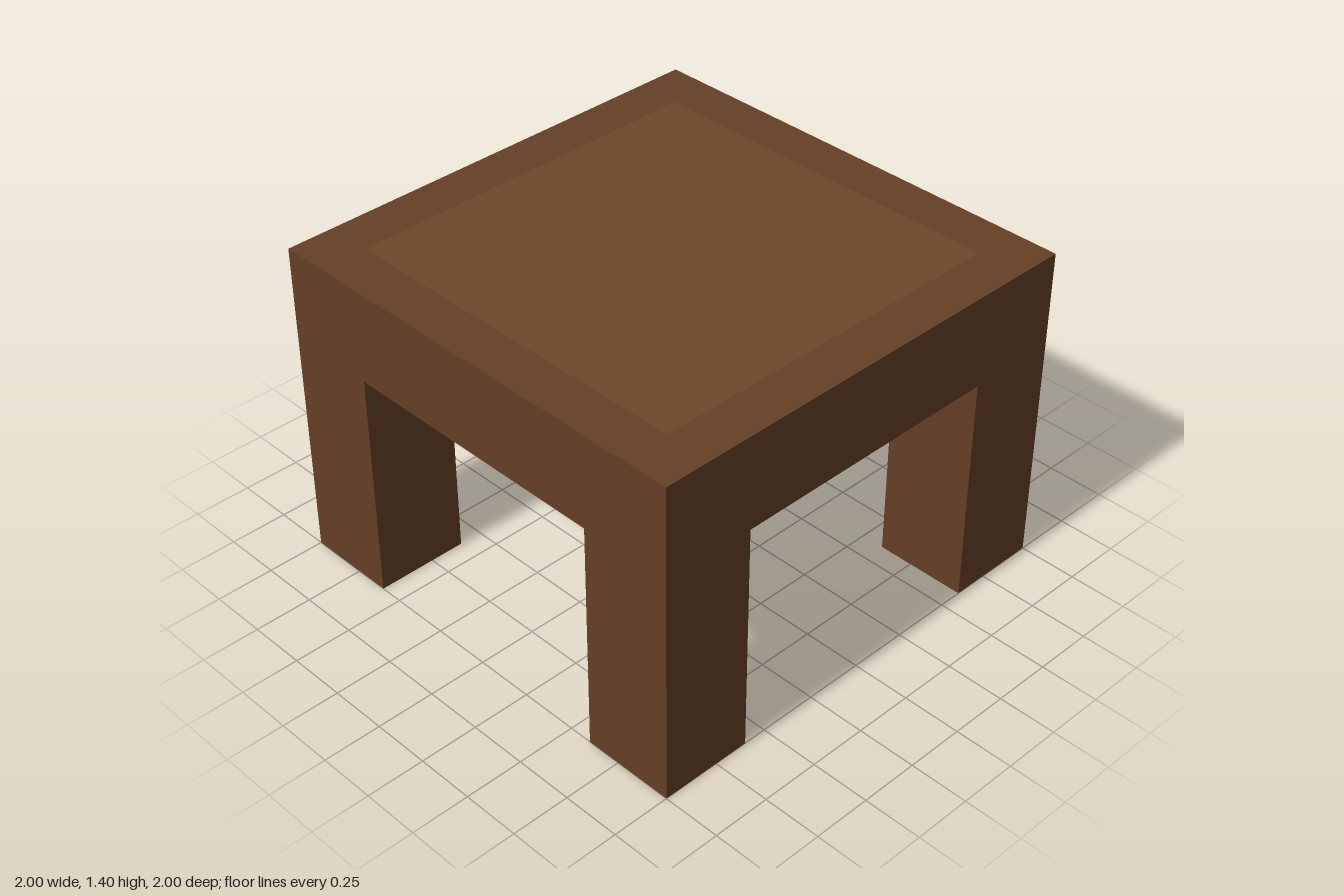
import * as THREE from 'three';

export function createModel() {
  const group = new THREE.Group();
  const frameWood = new THREE.MeshStandardMaterial({ color: 0x653f26 });
  const panelWood = new THREE.MeshStandardMaterial({ color: 0x6e462a });

  const add = (name, geometry, material, x, y, z) => {
    const mesh = new THREE.Mesh(geometry, material);
    mesh.name = name;
    mesh.position.set(x, y, z);
    group.add(mesh);
    return mesh;
  };

  // Thick square top
  add('tableTop', new THREE.BoxGeometry(2, 0.4, 2), frameWood, 0, 1.2, 0);

  // Lighter inlay, practically flush with the top
  const inlay = new THREE.PlaneGeometry(1.6, 1.6).rotateX(-Math.PI / 2);
  add('topInlay', inlay, panelWood, 0, 1.401, 0);

  // Four square legs, flush with the corners
  const leg = new THREE.BoxGeometry(0.4, 1, 0.4);
  for (const [side, x] of [['Left', 0.8], ['Right', -0.8]]) {
    for (const [end, z] of [['front', 0.8], ['back', -0.8]]) {
      add(`${end}${side}Leg`, leg, frameWood, x, 0.5, z);
    }
  }

  return group;
}
